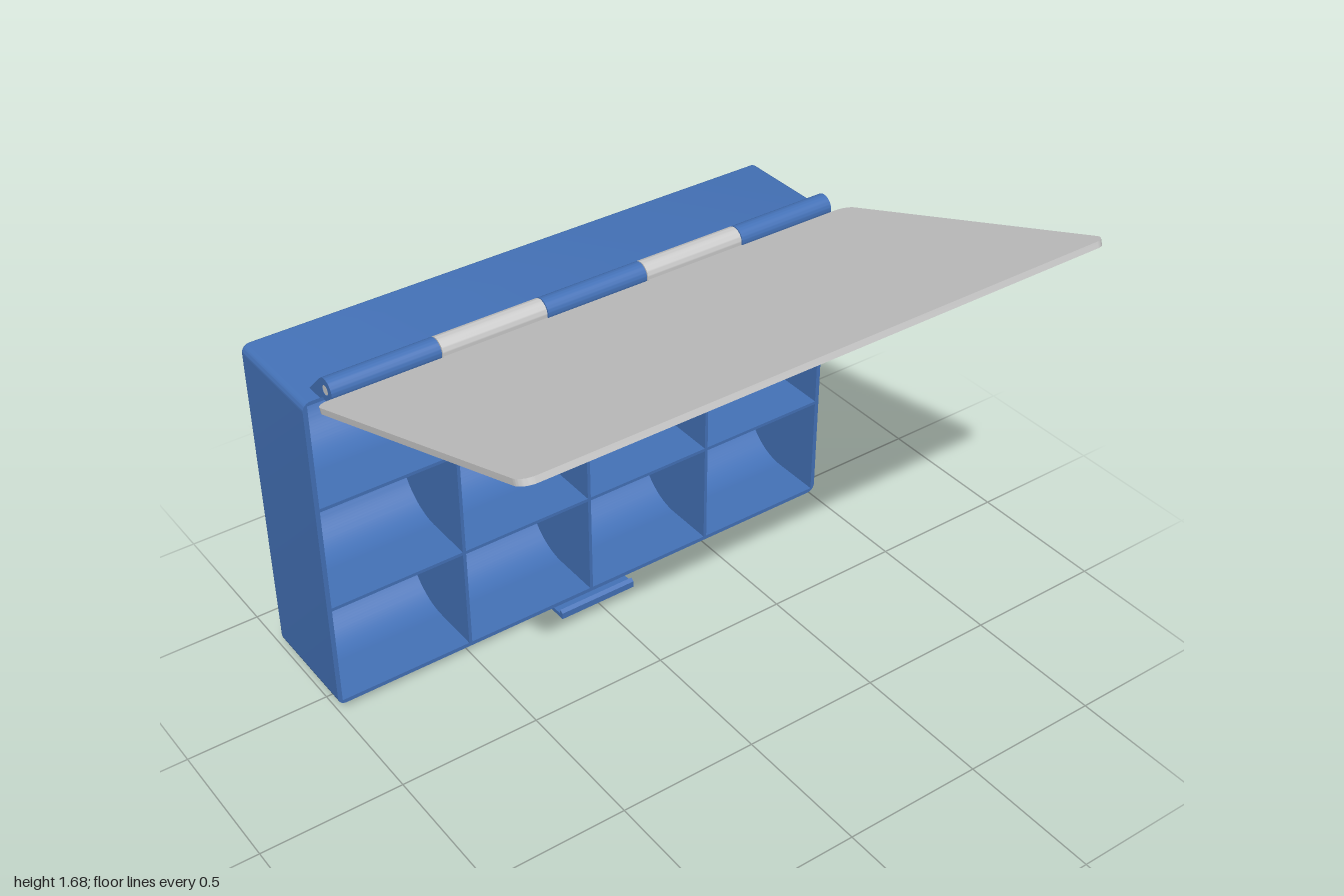
import * as THREE from 'three';
import { toCreasedNormals } from 'three/addons/utils/BufferGeometryUtils.js';

const blue = new THREE.MeshStandardMaterial({ color: 0x4472b8 });
const grey = new THREE.MeshStandardMaterial({ color: 0xcccccc });

function addMesh(parent, name, geometry, material) {
  const mesh = new THREE.Mesh(toCreasedNormals(geometry, 0.5), material);
  mesh.name = name;
  parent.add(mesh);
  return mesh;
}

function roundedRect(x0, y0, x1, y1, r) {
  const s = new THREE.Shape();
  s.absarc(x1 - r, y0 + r, r, -Math.PI / 2, 0);
  s.absarc(x1 - r, y1 - r, r, 0, Math.PI / 2);
  s.absarc(x0 + r, y1 - r, r, Math.PI / 2, Math.PI);
  s.absarc(x0 + r, y0 + r, r, Math.PI, Math.PI * 1.5);
  s.closePath();
  return s;
}

// Extrudes a (z, y) profile along x, centred on x = 0
function extrudeX(shape, width, curveSegments = 16) {
  const g = new THREE.ExtrudeGeometry(shape, { depth: width, bevelEnabled: false, curveSegments });
  return g.translate(0, 0, -width / 2).rotateY(-Math.PI / 2);
}

export function createModel() {
  const model = new THREE.Group();
  model.name = 'compartmentBox';

  // Case: a frame with twelve openings, closed by a soft-edged back
  const wall = 0.006;
  const columns = [-0.99, -0.494, 0, 0.494, 0.99];
  const rows = [0.037, 0.428, 0.823, 1.216];
  const backZ = -0.79;
  const frame = roundedRect(-1, 0.028, 1, 1.223, 0.03);

  // Concave fillet between the floor and back of each compartment
  const R = 0.2;
  const scoop = new THREE.Shape();
  scoop.moveTo(0, 0);
  scoop.lineTo(R, 0);
  scoop.absarc(R, R, R, -Math.PI / 2, -Math.PI, true);
  scoop.closePath();

  const scoops = new THREE.Group();
  scoops.name = 'compartmentScoops';
  for (let c = 0; c < 4; c++) {
    for (let r = 0; r < 3; r++) {
      const x0 = columns[c] + wall, x1 = columns[c + 1] - wall;
      const y0 = rows[r] + wall, y1 = rows[r + 1] - wall;
      const hole = new THREE.Path();
      hole.moveTo(x0, y0);
      hole.lineTo(x0, y1);
      hole.lineTo(x1, y1);
      hole.lineTo(x1, y0);
      hole.closePath();
      frame.holes.push(hole);
      addMesh(scoops, 'scoop', extrudeX(scoop, x1 - x0), blue)
        .position.set((x0 + x1) / 2, y0, backZ);
    }
  }
  model.add(scoops);

  const frameGeometry = new THREE.ExtrudeGeometry(frame, { depth: 0.39, bevelEnabled: false, curveSegments: 8 });
  addMesh(model, 'caseFrame', frameGeometry.translate(0, 0, -0.8), blue);

  const b = 0.01;
  const back = new THREE.ExtrudeGeometry(roundedRect(-1, 0.028, 1, 1.223, 0.03), {
    depth: 0.001, bevelThickness: b, bevelSize: b, bevelOffset: -b, bevelSegments: 4, curveSegments: 8,
  });
  addMesh(model, 'caseBack', back.translate(0, 0, -0.8), blue);

  // Fixed hinge knuckles with sloping brackets, bored for the pin
  const axisY = 1.272, axisZ = -0.369, radius = 0.04;
  const bracket = new THREE.Shape();
  bracket.absarc(axisZ, axisY, radius, Math.PI * 0.75, -Math.PI * 2 / 3, true);
  bracket.lineTo(-0.412, 1.221);
  bracket.lineTo(-0.477, 1.221);
  bracket.closePath();
  const bore = new THREE.Path();
  bore.absarc(axisZ, axisY, 0.017, 0, Math.PI * 2);
  bracket.holes.push(bore);
  for (const x of [-0.753, 0, 0.753]) {
    addMesh(model, 'caseKnuckle', extrudeX(bracket, 0.373), blue).position.x = x;
  }

  // Lid group pivots on the hinge axis
  const lid = new THREE.Group();
  lid.name = 'lid';
  lid.position.set(0, axisY, axisZ);
  lid.rotation.x = -THREE.MathUtils.degToRad(20);
  model.add(lid);

  const panel = new THREE.ExtrudeGeometry(roundedRect(-1, 0.04, 1, 1.246, 0.045), {
    depth: 0.02, bevelEnabled: false, curveSegments: 8,
  });
  addMesh(lid, 'lidPanel', panel.rotateX(Math.PI / 2).translate(0, -0.02, 0), grey);

  // Lid knuckles rise from tabs running under the hinge
  const knuckle = new THREE.Shape();
  knuckle.moveTo(0.06, -0.04);
  knuckle.lineTo(-0.045, -0.04);
  knuckle.lineTo(-0.045, -0.02);
  knuckle.absarc(0, 0, radius, Math.PI * 7 / 6, -Math.PI / 6, true);
  knuckle.lineTo(0.06, -0.02);
  knuckle.closePath();
  for (const x of [-0.3765, 0.3765]) {
    addMesh(lid, 'lidKnuckle', extrudeX(knuckle, 0.374), grey).position.x = x;
  }

  const pin = new THREE.CylinderGeometry(0.016, 0.016, 1.878, 20).rotateZ(Math.PI / 2);
  addMesh(lid, 'hingePin', pin, grey);

  // Latch below the case: mounting pad, thin arm and catching lip
  const latch = new THREE.Shape();
  [[-0.545, 0], [-0.37, 0], [-0.37, 0.024], [-0.382, 0.034], [-0.385, 0.016],
    [-0.51, 0.016], [-0.51, 0.029], [-0.545, 0.029]]
    .forEach(([z, y], i) => (i ? latch.lineTo(z, y) : latch.moveTo(z, y)));
  latch.closePath();
  addMesh(model, 'latch', extrudeX(latch, 0.3), blue);

  return model;
}
